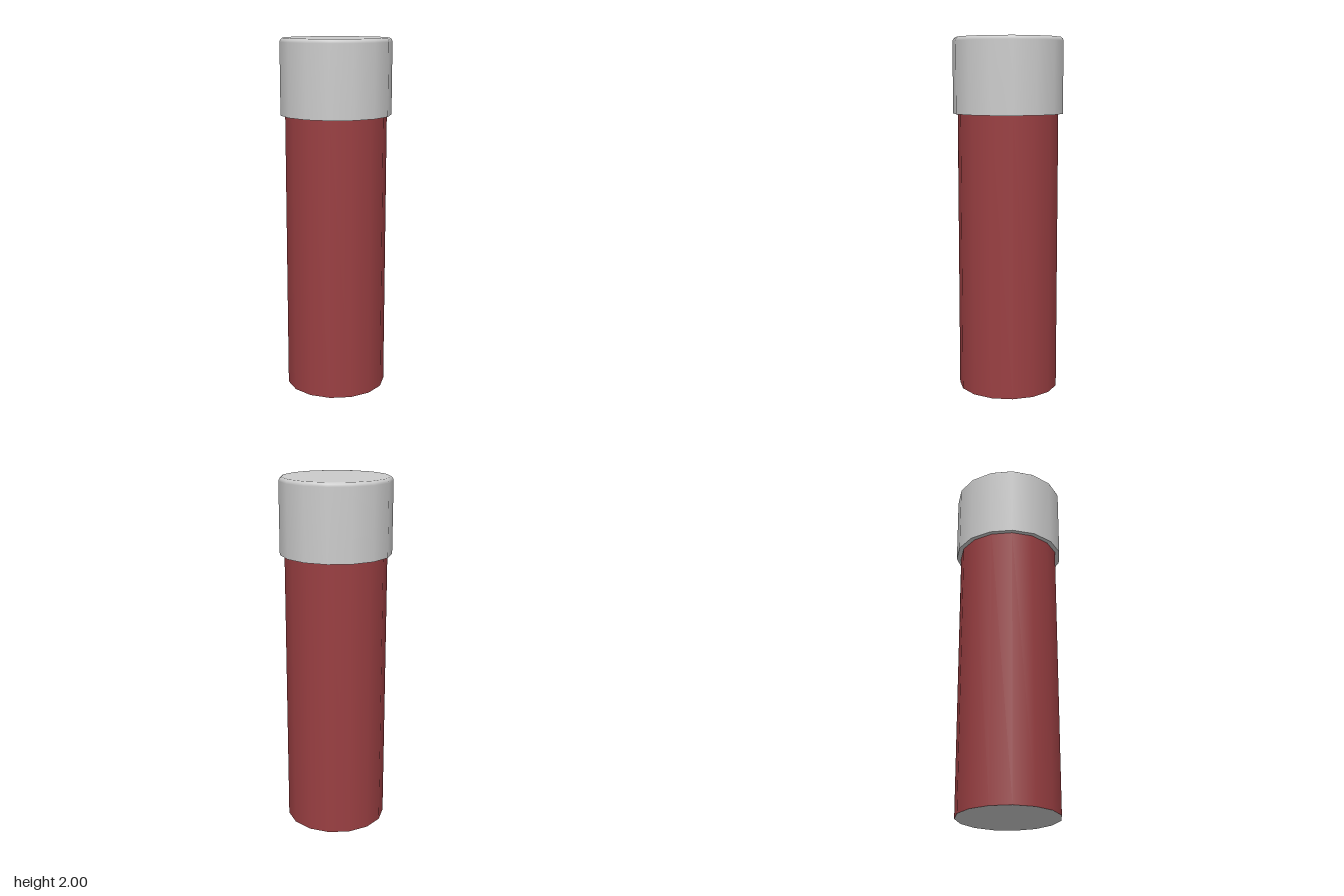
import * as THREE from 'three';

const SIDES = 15; // low side count, smooth normals, one corner on +x

export function createModel() {
  const group = new THREE.Group();
  const grey = new THREE.MeshStandardMaterial({ color: 0xcccccc });
  const red = new THREE.MeshStandardMaterial({ color: 0x9a3f42 });

  // Revolves a bottom-to-top profile of [radius, y] pairs
  const addTurned = (name, profile, material) => {
    const points = profile.map(([r, y]) => new THREE.Vector2(r, y));
    const mesh = new THREE.Mesh(new THREE.LatheGeometry(points, SIDES, Math.PI / 2), material);
    mesh.name = name;
    mesh.position.x = -0.0034; // an odd-sided prism sits off its bounding-box centre
    group.add(mesh);
  };

  const bodyR = 0.285, capR = 0.311, capY = 1.58;

  // Tall coloured body with a plain base
  addTurned('body', [[bodyR, 0], [bodyR, capY]], red);
  addTurned('base', [[0, 0], [bodyR, 0]], grey);

  // Cap: straight wall, softened rim and flat top, closed by a ring underneath
  addTurned('cap', [
    [capR, capY], [capR, 1.978], [capR - 0.004, 1.991],
    [capR - 0.015, 2], [capR - 0.022, 2], [0, 2],
  ], grey);
  addTurned('capUnderside', [[bodyR - 0.005, capY], [capR, capY]], grey);

  return group;
}
